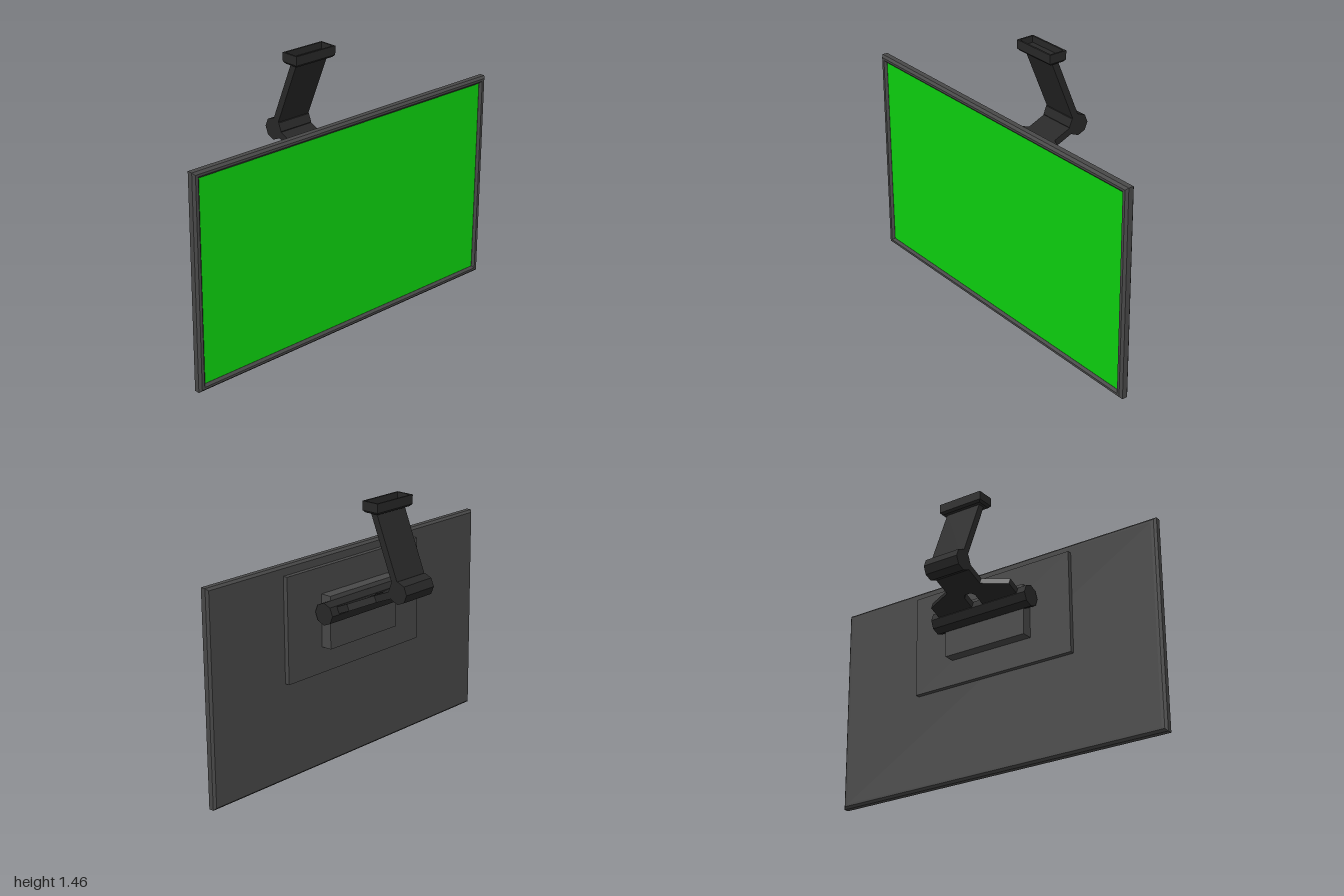
import * as THREE from 'three';

const material = (color) => new THREE.MeshStandardMaterial({ color, flatShading: true });

export function createModel() {
  const model = new THREE.Group();
  const casing = material(0x484848);
  const metal = material(0x282828);
  const green = material(0x0dd40f);

  const add = (name, geometry, mat) => {
    const mesh = new THREE.Mesh(geometry, mat);
    mesh.name = name;
    model.add(mesh);
    return mesh;
  };
  // Box given by half width and its y and z ranges
  const slab = (name, halfX, [y0, y1], [z0, z1], mat) =>
    add(name, new THREE.BoxGeometry(halfX * 2, y1 - y0, z1 - z0), mat)
      .position.set(0, (y0 + y1) / 2, (z0 + z1) / 2);
  const outline = (points) => points.map(([x, y]) => new THREE.Vector2(x, y));
  const rect = (hx, y0, y1) => outline([[-hx, y0], [hx, y0], [hx, y1], [-hx, y1]]);

  // Screen: bevelled frame, back panel and recessed display
  const bevel = 0.012;
  const frame = new THREE.Shape(rect(1 - bevel, bevel, 1.155 - bevel));
  frame.holes.push(new THREE.Path(rect(0.972, 0.024, 1.131)));
  const frameGeometry = new THREE.ExtrudeGeometry(frame, {
    depth: 0.053 - 2 * bevel, bevelSize: bevel, bevelThickness: bevel, bevelSegments: 1,
  });
  add('screenFrame', frameGeometry, casing).position.z = 0.21 + bevel;
  slab('screenBack', 0.972, [0.024, 1.131], [0.21, 0.24], casing);
  slab('display', 0.965, [0.03, 1.125], [0.24, 0.25], green);

  // Stepped mounting plates
  slab('backPlate', 0.493, [0.533, 1.103], [0.184, 0.211], casing);
  slab('mountBlock', 0.25, [0.675, 0.96], [0.122, 0.185], casing);

  // Octagonal hinge barrels
  const lower = { y: 0.877, z: 0.12 };
  const upper = { y: 1.01, z: -0.203 };
  const top = { y: 1.402, z: -0.042 };
  const hinge = (name, at, halfX) => {
    const g = new THREE.CylinderGeometry(0.06, 0.06, halfX * 2, 8).rotateZ(Math.PI / 2);
    add(name, g, metal).position.set(0, at.y, at.z);
  };
  hinge('lowerHinge', lower, 0.3);
  hinge('upperHinge', upper, 0.105);

  // Flat arms, drawn along y and tilted from one joint to the next
  const arm = (name, from, to, shape) => {
    const t = 0.037;
    const g = new THREE.ExtrudeGeometry(shape, { depth: t, bevelEnabled: false });
    g.translate(0, 0, -t / 2).rotateX(Math.atan2(to.z - from.z, to.y - from.y));
    add(name, g, metal).position.set(0, from.y, from.z);
  };
  const span = (a, b) => Math.hypot(b.y - a.y, b.z - a.z);
  const reach = span(lower, upper);
  const yoke = new THREE.Shape(outline([
    [-0.25, 0], [0.25, 0], [0.25, 0.13], [0.105, 0.188],
    [0.105, reach], [-0.105, reach], [-0.105, 0.188], [-0.25, 0.13],
  ]));
  yoke.holes.push(new THREE.Path(outline([
    [-0.034, 0.02], [0.034, 0.02], [0.034, 0.125], [0.018, 0.145], [-0.018, 0.145], [-0.034, 0.125],
  ])));
  arm('lowerArm', lower, upper, yoke);
  arm('upperArm', upper, top, new THREE.Shape(rect(0.105, 0, span(upper, top))));

  // Ceiling bracket: open tray, a four-sided lathe stretched along x
  const profile = outline([
    [0, 1.395], [0.04, 1.395], [0.051, 1.407], [0.051, 1.455],
    [0.041, 1.455], [0.041, 1.42], [0, 1.42],
  ].map(([r, y]) => [r * Math.SQRT2, y]));
  const tray = new THREE.LatheGeometry(profile, 4, Math.PI / 4);
  const p = tray.attributes.position;
  for (let i = 0; i < p.count; i++) p.setX(i, p.getX(i) + Math.sign(p.getX(i)) * 0.081);
  add('ceilingBracket', tray, metal).position.z = -0.044;

  return model;
}
